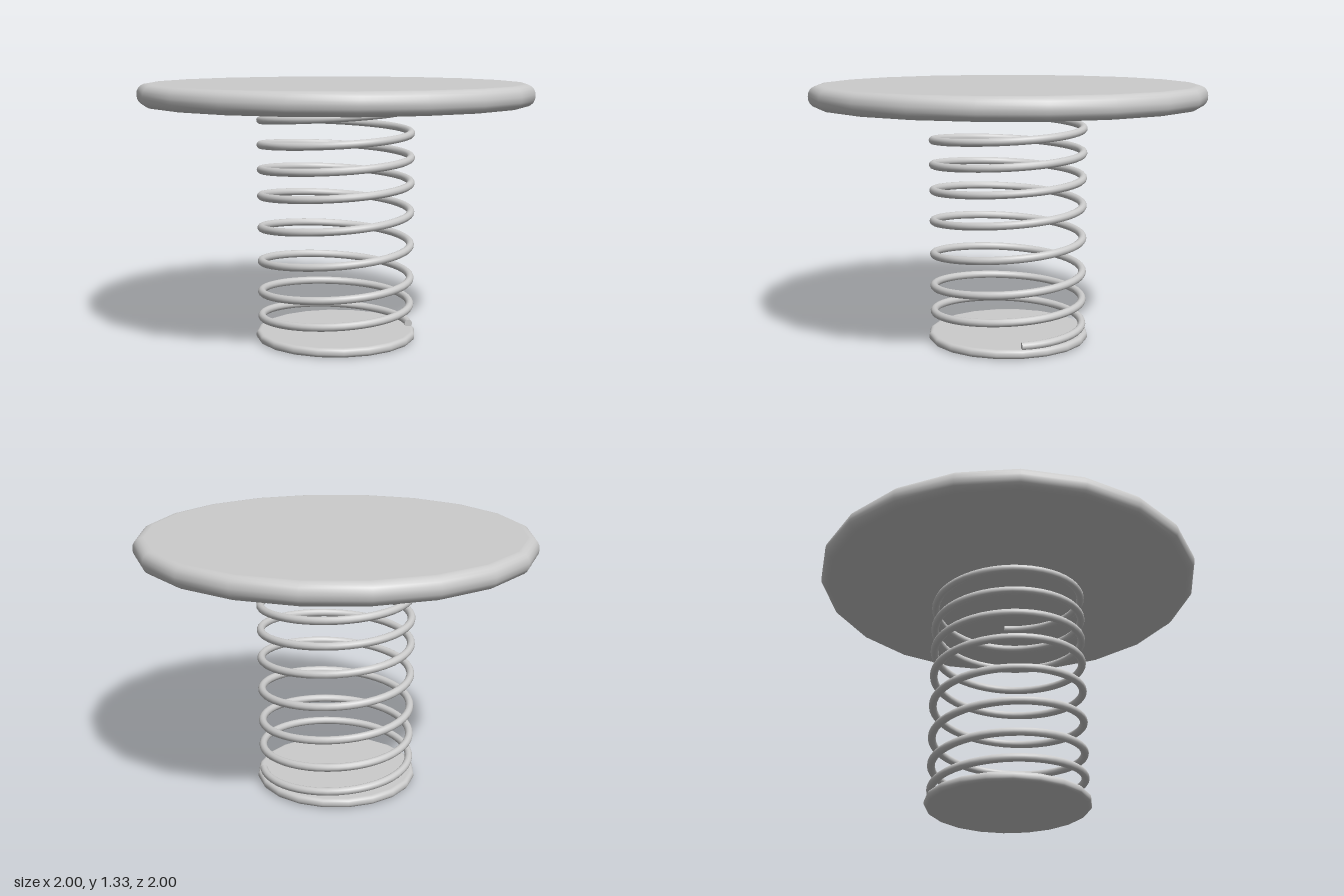
import * as THREE from 'three';

const material = new THREE.MeshStandardMaterial({ color: 0xcccccc });

// Centre height of the wire after every half turn; the pitch is widest mid-way
const HEIGHTS = [0.06, 0.12, 0.185, 0.25, 0.325, 0.41, 0.5, 0.585, 0.67,
  0.75, 0.82, 0.885, 0.95, 1.012, 1.075, 1.138, 1.2];
const COIL_RADIUS = 0.385;
const WIRE_RADIUS = 0.02;
const TURNS = (HEIGHTS.length - 1) / 2;

class CoilCurve extends THREE.Curve {
  constructor() {
    super();
    this.arcLengthDivisions = 1000;
    this.rise = new THREE.SplineCurve(HEIGHTS.map((y, i) => new THREE.Vector2(i, y)));
  }

  getPoint(t, target = new THREE.Vector3()) {
    const a = t * TURNS * Math.PI * 2;
    return target.set(COIL_RADIUS * Math.cos(a), this.rise.getPoint(t).y, -COIL_RADIUS * Math.sin(a));
  }
}

function addMesh(parent, name, geometry) {
  const mesh = new THREE.Mesh(geometry, material);
  mesh.name = name;
  parent.add(mesh);
  return mesh;
}

// Twenty-sided disc with a rounded rim, standing on y = 0
function discGeometry(radius, height, round) {
  const points = [new THREE.Vector2(0, 0), new THREE.Vector2(radius - round - 0.005, 0)];
  const steps = 5;
  for (const [cy, start] of [[round, -Math.PI / 2], [height - round, 0]]) {
    for (let i = 0; i <= steps; i++) {
      const a = start + (i / steps) * Math.PI / 2;
      points.push(new THREE.Vector2(radius - round + round * Math.cos(a), cy + round * Math.sin(a)));
    }
  }
  points.push(new THREE.Vector2(radius - round - 0.005, height), new THREE.Vector2(0, height));
  return new THREE.LatheGeometry(points, 20);
}

export function createModel() {
  const model = new THREE.Group();
  model.name = 'springTable';

  // Round plates above and below the spring
  addMesh(model, 'basePlate', discGeometry(0.415, 0.046, 0.02));
  addMesh(model, 'topPlate', discGeometry(1, 0.11, 0.05)).position.y = 1.215;

  // Coil spring with closed wire ends
  const spring = new THREE.Group();
  spring.name = 'spring';
  model.add(spring);
  const curve = new CoilCurve();
  addMesh(spring, 'coil', new THREE.TubeGeometry(curve, TURNS * 48, WIRE_RADIUS, 12, false));
  for (const [name, t, sign] of [['lowerWireEnd', 0, -1], ['upperWireEnd', 1, 1]]) {
    const cap = addMesh(spring, name, new THREE.CircleGeometry(WIRE_RADIUS, 12));
    cap.position.copy(curve.getPoint(t));
    cap.quaternion.setFromUnitVectors(new THREE.Vector3(0, 0, 1), curve.getTangent(t).multiplyScalar(sign));
  }

  return model;
}
